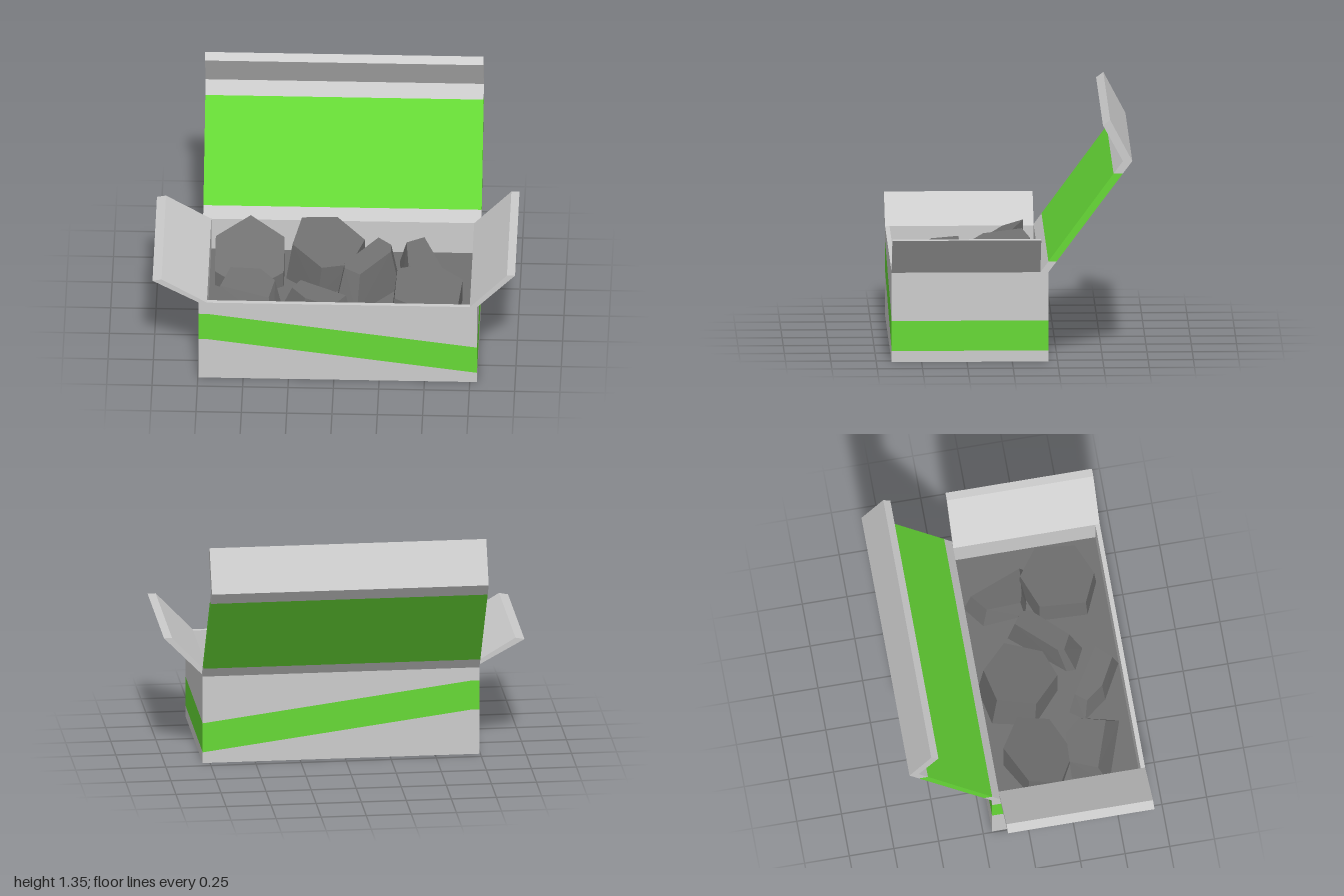
import * as THREE from 'three';
import { ConvexGeometry } from 'three/addons/geometries/ConvexGeometry.js';

const X0 = -0.745, X1 = 0.79, Z0 = -0.2, Z1 = 0.665, H = 0.5, FLOOR = 0.3;

const mat = (color) => new THREE.MeshStandardMaterial({ color, flatShading: true });

// Closed strip of quads joining two loops of [x, y, z] points
function strip(a, b) {
  const pos = [];
  a.forEach((p, i) => {
    const j = (i + 1) % a.length;
    pos.push(...p, ...a[j], ...b[j], ...p, ...b[j], ...b[i]);
  });
  const g = new THREE.BufferGeometry();
  g.setAttribute('position', new THREE.Float32BufferAttribute(pos, 3));
  g.computeVertexNormals();
  return g;
}

function extrude(points, depth) {
  const shape = new THREE.Shape(points.map(([x, y]) => new THREE.Vector2(x, y)));
  return new THREE.ExtrudeGeometry(shape, { depth, bevelEnabled: false });
}

export function createModel() {
  const group = new THREE.Group();
  const card = mat(0xcccccc), green = mat(0x66d936), stone = mat(0x707070);
  const add = (name, geometry, material, parent = group) => {
    const m = new THREE.Mesh(geometry, material);
    m.name = name;
    parent.add(m);
    return m;
  };

  // Carton walls: outer skin with a slanted stripe, rim and inner faces
  const outer = [[X0, Z1], [-0.7, Z1], [X1, Z1], [X1, Z0], [-0.7, Z0], [X0, Z0]];
  const inner = [[-0.7, 0.64], [-0.69, 0.64], [0.75, 0.64], [0.75, -0.155], [-0.69, -0.155], [-0.7, -0.155]];
  const level = (loop, y) => loop.map(([x, z]) => [x, y, z]);
  const slanted = (y) => outer.map(([x, z]) => [x, y + 0.195 * (X1 - Math.max(x, -0.7)) / (X1 + 0.7), z]);
  add('lowerWalls', strip(level(outer, 0), slanted(0.062)), card);
  add('wallStripe', strip(slanted(0.062), slanted(0.23)), green);
  add('upperWalls', strip(slanted(0.23), level(outer, H)), card);
  add('rim', strip(level(outer, H), level(inner, H)), card);
  add('innerWalls', strip(level(inner, H), level(inner, FLOOR)), card);
  const base = add('base', new THREE.BoxGeometry(X1 - X0, 0.02, Z1 - Z0).scale(0.9999, 1, 0.9999), card);
  base.position.set((X0 + X1) / 2, 0.01, (Z0 + Z1) / 2);

  // Dark bed under the stones
  const bed = add('stoneBed', new THREE.BoxGeometry(1.45, 0.02, 0.795), stone);
  bed.position.set(0.025, FLOOR - 0.01, 0.2425);

  // Side flaps, profiles in x and y
  const flaps = {
    rightFlap: [[-0.745, H], [-0.7, H], [-0.95, 0.65], [-1, 0.64]],
    leftFlap: [[X1, H], [1, 0.715], [0.955, 0.715], [0.75, H]],
  };
  for (const [name, profile] of Object.entries(flaps)) {
    add(name, extrude(profile, 0.82), card).position.z = -0.155;
  }

  // Open lid, profiles in z and y, swept across the width
  const lid = new THREE.Group();
  lid.name = 'lid';
  lid.rotation.y = -Math.PI / 2;
  lid.position.x = X1;
  group.add(lid);
  const front = (y) => [-0.155 - 0.455 * (y - H) / 0.62, y];
  const back = (y) => [-0.2 - 0.462 * (y - H) / 0.62, y];
  const panel = (y0, y1) => extrude([back(y0), front(y0), front(y1), back(y1)], X1 - X0);
  add('lidHingeStrip', panel(H, 0.56), card, lid);
  add('lidStripe', panel(0.56, 1.05), green, lid);
  add('lidTopStrip', panel(1.05, 1.12), card, lid);
  add('lidTuckFlap', extrude([back(1.12), front(1.12), [-0.5, 1.32], [-0.54, 1.35]], X1 - X0), card, lid);

  // Stones: outline in x and z, top height, tilt along x and z, top scale and shift
  const stones = [
    { o: [[-0.48, -0.09], [-0.29, 0.02], [-0.29, 0.2], [-0.48, 0.3], [-0.67, 0.2], [-0.67, 0.02]], y: 0.45, tx: 0, tz: -0.62, s: 1 },
    { o: [[-0.23, -0.11], [-0.02, -0.155], [0.15, 0], [0.07, 0.22], [-0.1, 0.28], [-0.28, 0.12]], y: 0.52, tx: -0.15, tz: -0.2, s: 0.92, dx: 0.02, dz: 0.02 },
    { o: [[0.46, -0.15], [0.34, -0.06], [0.36, 0.18], [0.43, 0.2], [0.63, 0.22]], y: 0.42, tx: -0.2, tz: -0.1, s: 0.8, dx: 0.02 },
    { o: [[0.25, 0.06], [0.35, 0.13], [0.35, 0.2], [0.12, 0.46], [0, 0.4], [0, 0.35]], y: 0.54, tx: -0.05, tz: -0.2, s: 0.72, dx: 0, dz: -0.02 },
    { o: [[0.32, 0.25], [0.53, 0.17], [0.7, 0.29], [0.68, 0.52], [0.49, 0.6], [0.31, 0.52]], y: 0.44, tx: -0.1, tz: -0.1, s: 0.95, dx: 0.01 },
    { o: [[-0.24, 0.32], [0.1, 0.53], [0, 0.64], [-0.2, 0.53], [-0.3, 0.4]], y: 0.45, tx: 0.1, tz: -0.1, s: 0.75, dx: 0.02 },
    { o: [[-0.62, 0.27], [-0.4, 0.28], [-0.29, 0.4], [-0.33, 0.59], [-0.69, 0.47]], y: 0.45, tx: 0, tz: -0.15, s: 0.75, dz: -0.04 },
  ];
  const pile = new THREE.Group();
  pile.name = 'stones';
  group.add(pile);
  for (const { o, y, tx, tz, s, dx = 0, dz = 0 } of stones) {
    const cx = o.reduce((t, p) => t + p[0], 0) / o.length;
    const cz = o.reduce((t, p) => t + p[1], 0) / o.length;
    const points = [];
    for (const [x, z] of o) {
      const u = (x - cx) * s, v = (z - cz) * s;
      points.push(new THREE.Vector3(x, FLOOR - 0.01, z));
      points.push(new THREE.Vector3(cx + u + dx, y + tx * u + tz * v, cz + v + dz));
    }
    add('stone', new ConvexGeometry(points), stone, pile);
  }
  return group;
}
